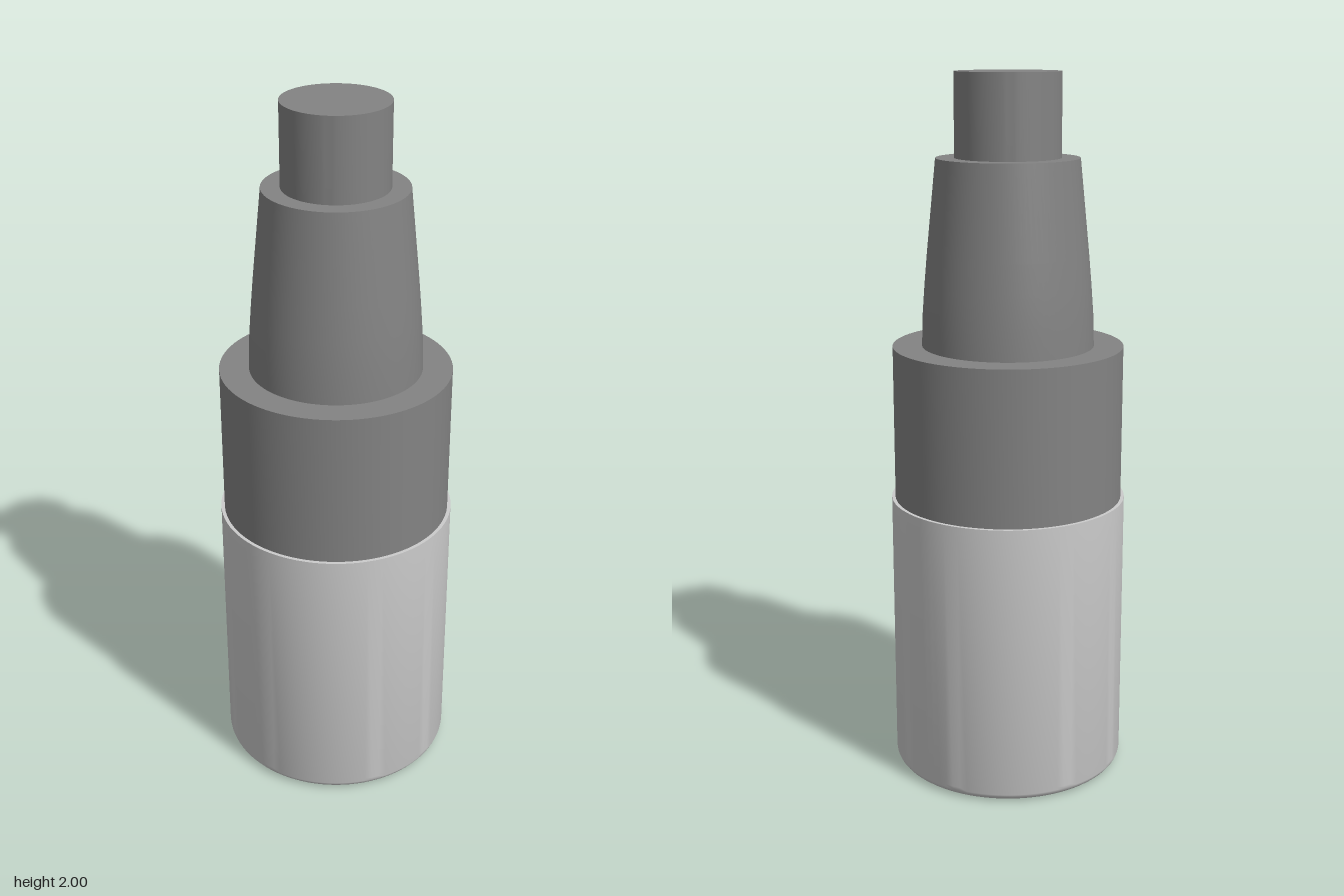
import * as THREE from 'three';
import { toCreasedNormals } from 'three/addons/utils/BufferGeometryUtils.js';

const SEGMENTS = 96;

// Closed solid of revolution from [radius, height] points, bottom to top
function turned(name, profile, material) {
  const points = profile.map(([r, y]) => new THREE.Vector2(r, y));
  const geometry = toCreasedNormals(new THREE.LatheGeometry(points, SEGMENTS), 0.5);
  const mesh = new THREE.Mesh(geometry, material);
  mesh.name = name;
  return mesh;
}

export function createModel() {
  const model = new THREE.Group();
  model.name = 'bottle';
  const light = new THREE.MeshStandardMaterial({ color: 0xcccccc });
  const dark = new THREE.MeshStandardMaterial({ color: 0x838383 });

  // Body with a rounded bottom edge
  const radius = 0.335, fillet = 0.03;
  const body = [[0, 0]];
  for (let i = 0; i <= 6; i++) {
    const a = (i / 6) * Math.PI / 2;
    body.push([radius - fillet + fillet * Math.sin(a), fillet - fillet * Math.cos(a)]);
  }
  body.push([radius, 0.81], [0, 0.81]);
  model.add(turned('body', body, light));

  // Wide collar above the body
  model.add(turned('collar', [[0, 0.81], [0.325, 0.81], [0.325, 1.25], [0, 1.25]], dark));

  // Gently curved, tapering neck
  model.add(turned('neck', [
    [0, 1.25], [0.242, 1.25], [0.239, 1.34], [0.233, 1.42], [0.225, 1.51], [0.199, 1.77], [0, 1.77],
  ], dark));

  // Straight tip
  model.add(turned('tip', [[0, 1.77], [0.147, 1.77], [0.147, 2], [0, 2]], dark));

  return model;
}
